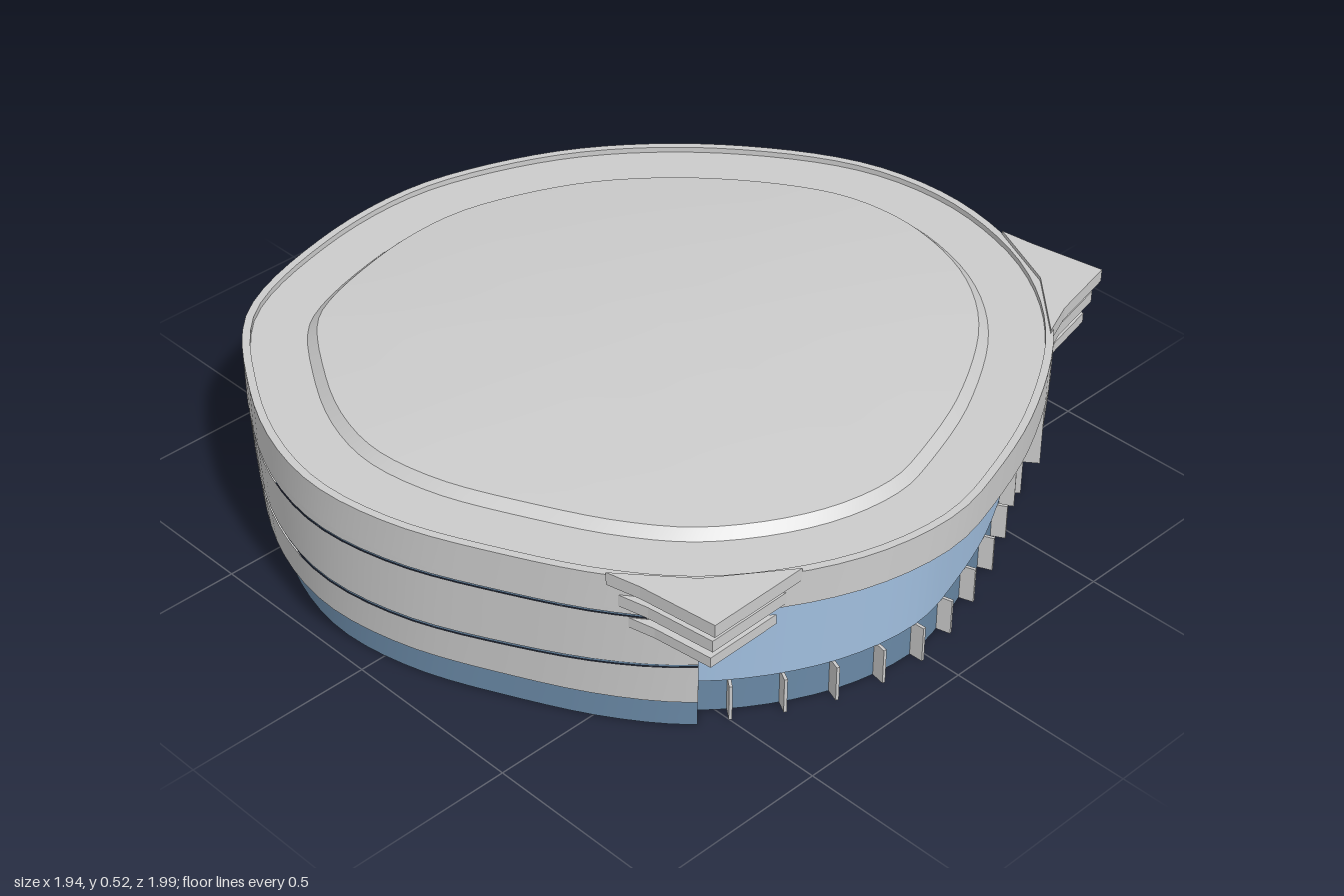
import * as THREE from 'three';

const paint = (color) => new THREE.MeshStandardMaterial({ color, side: THREE.DoubleSide });
const grey = paint(0xcccccc), glass = paint(0xa0bede), darkGlass = paint(0x6988a5), brown = paint(0xa08870);

// Plan outline (x, z), starting at the front end of the window opening and running past +x to the back
const plan = [
  [0.73, 0.6], [0.865, 0.41], [0.945, 0.21], [0.967, 0], [0.92, -0.2], [0.83, -0.43], [0.66, -0.7],
  [0.48, -0.86], [0.28, -0.955], [0.03, -0.997], [-0.23, -0.95], [-0.55, -0.745], [-0.79, -0.475],
  [-0.92, -0.2], [-0.967, 0.02], [-0.94, 0.32], [-0.81, 0.66], [-0.55, 0.86], [-0.33, 0.96],
  [-0.13, 0.992], [0.1, 0.955], [0.35, 0.85], [0.57, 0.73],
];
const N = 96;
const outline = new THREE.CatmullRomCurve3(plan.map(([x, z]) => new THREE.Vector3(x, 0, z)), true)
  .getSpacedPoints(N).slice(0, N);
const openEnd = outline.findIndex((p) => p.z < -0.67);

// Outline moved inward by inset; y is a number or a function of the plan angle
function ring(inset, y) {
  return outline.map((p, i) => {
    const t = outline[(i + 1) % N].clone().sub(outline[(i + N - 1) % N]).normalize();
    const height = typeof y === 'function' ? y(Math.atan2(p.z, p.x)) : y;
    return new THREE.Vector3(p.x + t.z * inset, height, p.z - t.x * inset);
  });
}
const opening = (r) => r.slice(0, openEnd + 1);
const solidSide = (r) => [...r.slice(openEnd), r[0]];

// Surface between successive rows of points, bottom to top or outside to inside
function loft(name, material, rows, closed = false) {
  const n = rows[0].length, index = [];
  for (let r = 0; r < rows.length - 1; r++) {
    for (let i = 0; i < (closed ? n : n - 1); i++) {
      const j = (i + 1) % n, a = r * n, b = a + n;
      index.push(a + i, a + j, b + j, a + i, b + j, b + i);
    }
  }
  const geometry = new THREE.BufferGeometry().setFromPoints(rows.flat());
  geometry.setIndex(index);
  geometry.computeVertexNormals();
  const mesh = new THREE.Mesh(geometry, material);
  mesh.name = name;
  return mesh;
}

// Three stacked corner slabs that shrink downward about their root point
function canopy(name, points) {
  const group = new THREE.Group();
  group.name = name;
  const [rx, rz] = points[0];
  [[0.445, 0.035, 1], [0.385, 0.032, 0.87], [0.325, 0.028, 0.76]].forEach(([y, h, s]) => {
    const shape = new THREE.Shape(points.map(([x, z]) =>
      new THREE.Vector2(rx + (x - rx) * s, -(rz + (z - rz) * s))));
    const slab = new THREE.Mesh(new THREE.ExtrudeGeometry(shape, { depth: h, bevelEnabled: false }), grey);
    slab.rotation.x = -Math.PI / 2;
    slab.position.y = y;
    slab.name = 'canopySlab';
    group.add(slab);
  });
  return group;
}

export function createModel() {
  const model = new THREE.Group();
  model.name = 'roundPavilion';

  // Wall cladding in three bands, split by two gently waving glazed joints
  const low = (a) => 0.213 + 0.018 * Math.cos(2 * a);
  const high = (a) => 0.338 + 0.022 * Math.cos(a - 0.8);
  const raise = (f, d) => (a) => f(a) + d;
  const wall = (name, mat, i0, y0, i1, y1) =>
    model.add(loft(name, mat, [solidSide(ring(i0, y0)), solidSide(ring(i1, y1))]));
  const g = 0.004;
  wall('lowerCladding', grey, 0.014, 0.1, 0.007, raise(low, -g));
  wall('lowerJoint', darkGlass, 0.01, raise(low, -g), 0.009, raise(low, g));
  wall('middleCladding', grey, 0.007, raise(low, g), 0.001, raise(high, -g));
  wall('upperJoint', darkGlass, 0.004, raise(high, -g), 0.003, raise(high, g));
  wall('upperCladding', grey, 0, raise(high, g), 0, 0.375);
  wall('wallSoffit', grey, 0.05, 0.1, 0.014, 0.1);
  wall('baseGlazing', darkGlass, 0.05, 0, 0.05, 0.1);

  // Fascia, rim and flat roof run all the way round
  const closed = (name, mat, rows) => model.add(loft(name, mat, rows, true));
  closed('fascia', grey, [ring(0, 0.375), ring(0, 0.47)]);
  closed('rimTop', grey, [ring(0, 0.47), ring(0.02, 0.47)]);
  closed('rimInside', grey, [ring(0.02, 0.47), ring(0.02, 0.455)]);
  closed('roofDeck', grey, [ring(0.02, 0.455), ring(0.16, 0.455)]);
  closed('domeKerb', grey, [ring(0.16, 0.455), ring(0.185, 0.478)]);

  // Shallow domed roof
  const edge = ring(0.185, 0);
  closed('domedRoof', grey, [1, 0.85, 0.7, 0.5, 0.3, 0.15, 0].map((s) =>
    edge.map((p) => new THREE.Vector3(p.x * s, 0.478 + 0.04 * (1 - s * s), p.z * s))));

  // Recessed window in the opening
  const bay = (name, mat, i0, y0, i1, y1) =>
    model.add(loft(name, mat, [opening(ring(i0, y0)), opening(ring(i1, y1))]));
  bay('windowBase', darkGlass, 0.1, 0, 0.1, 0.1);
  bay('windowSill', brown, 0.1, 0.1, 0.088, 0.1);
  bay('windowPanel', glass, 0.088, 0.1, 0.088, 0.335);
  bay('windowHead', grey, 0.088, 0.335, 0.1, 0.335);
  bay('windowTop', darkGlass, 0.1, 0.335, 0.1, 0.375);
  bay('openingSoffit', brown, 0.1, 0.375, 0, 0.375);

  // Jambs closing the wall ends
  for (const i of [0, openEnd]) {
    const jamb = (outer, y0, y1) => model.add(loft('jamb', grey, [y0, y1].map((y) =>
      [ring(outer, y)[i], ring(0.1, y)[i]])));
    jamb(0.05, 0, 0.1);
    jamb(0.008, 0.1, 0.375);
  }

  // Short fins below and above the window panel
  const inner = opening(ring(0.1, 0)), outer = opening(ring(0.062, 0));
  const fins = 10;
  for (let k = 0; k < fins; k++) {
    const u = ((k + 0.6) / fins) * openEnd, i = Math.floor(u), f = u - i;
    const a = inner[i].clone().lerp(inner[i + 1], f), b = outer[i].clone().lerp(outer[i + 1], f);
    for (const [y0, y1] of [[0, 0.1], [0.335, 0.375]]) {
      const fin = new THREE.Mesh(new THREE.BoxGeometry(a.distanceTo(b), y1 - y0, 0.008), grey);
      fin.position.copy(a).lerp(b, 0.5).setY((y0 + y1) / 2);
      fin.rotation.y = -Math.atan2(b.z - a.z, b.x - a.x);
      fin.name = 'windowFin';
      model.add(fin);
    }
  }

  // Corner canopies at both ends of the opening
  model.add(canopy('frontCanopy', [[0.73, 0.6], [0.57, 0.735], [0.66, 0.715], [0.87, 0.69], [0.867, 0.5], [0.865, 0.41]]));
  model.add(canopy('backCanopy', [[0.48, -0.86], [0.65, -0.7], [0.61, -0.8], [0.565, -1], [0.36, -0.965], [0.27, -0.955]]));
  return model;
}
